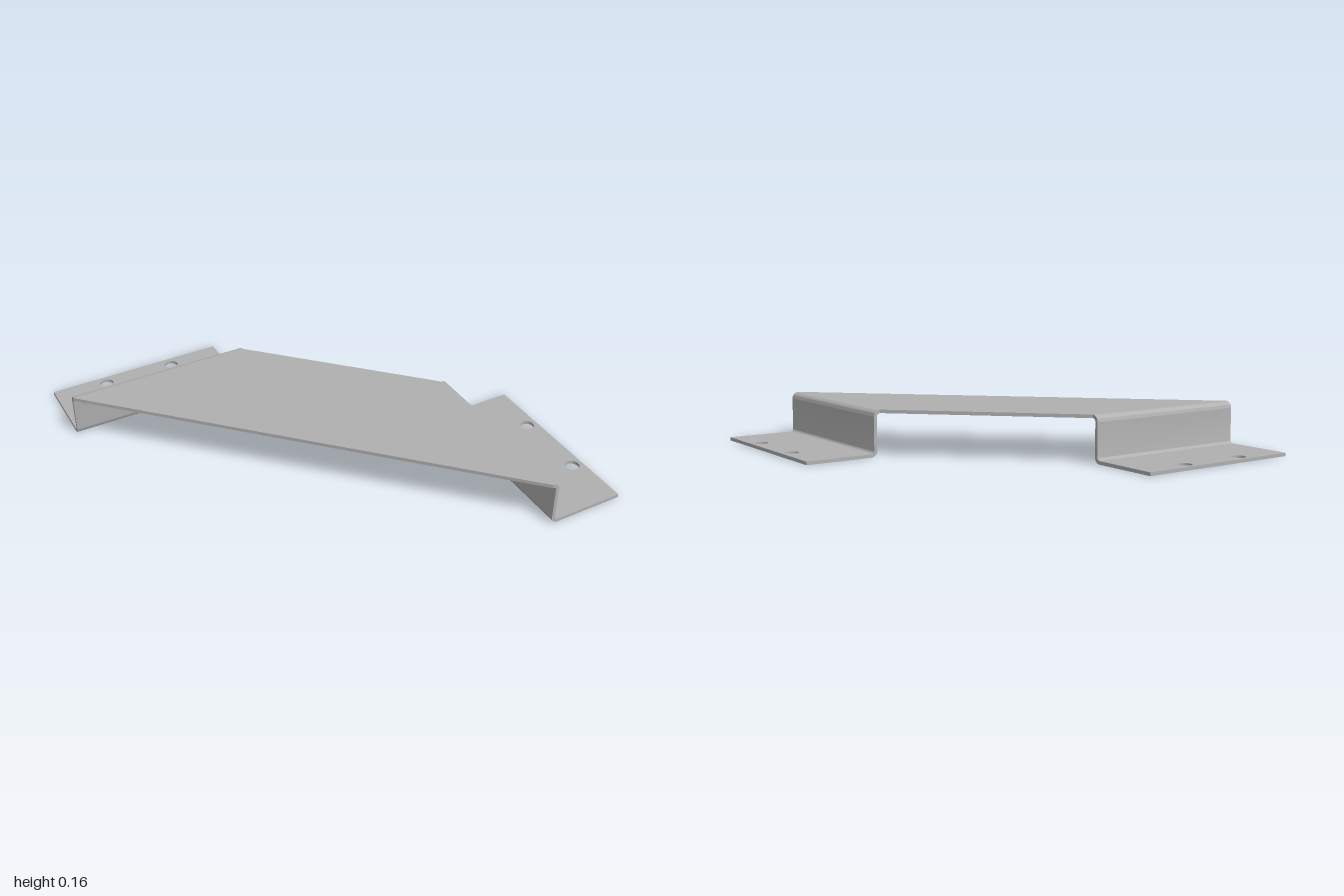
import * as THREE from 'three';
import { toCreasedNormals } from 'three/addons/utils/BufferGeometryUtils.js';

const T = 0.012;        // sheet thickness
const H = 0.162;        // overall height
const R = 0.012;        // inside bend radius
const WALL = 0.354;     // inner wall face, measured across the bend line
const EDGE = 0.62;      // outer edge of the foot
const LEN = 0.624;      // length along the bend line
const MID = 0.48;       // middle of the bend line

export function createModel() {
  const model = new THREE.Group();
  model.name = 'bracket';
  const steel = new THREE.MeshStandardMaterial({ color: 0xb0b0b0 });
  steel.name = 'grey steel';

  const add = (parent, name, geometry) => {
    const mesh = new THREE.Mesh(geometry, steel);
    mesh.name = name;
    parent.add(mesh);
    return mesh;
  };

  // Horizontal sheet: outline is (x, z), upper face at the given height
  const sheet = (shape, top) => {
    const g = new THREE.ExtrudeGeometry(shape, { depth: T, bevelEnabled: false, curveSegments: 16 });
    g.rotateX(Math.PI / 2).translate(0, top, 0);
    return toCreasedNormals(g, 0.6);
  };

  // Raised deck, a trapezoid ending where the bends begin
  const c = Math.SQRT1_2, bend = WALL - R;
  const corner = (s) => [(s + bend) * c, (s - bend) * c];
  const [xf, zf] = corner(MID + LEN / 2), [xb, zb] = corner(MID - LEN / 2);
  const deck = new THREE.Shape([[-xf, zf], [-xb, zb], [xb, zb], [xf, zf]].map((p) => new THREE.Vector2(...p)));
  add(model, 'deck', sheet(deck, H));

  // Wall section with a rounded bend at the top and bottom
  const footStart = WALL + T + R;
  const section = new THREE.Shape();
  section.moveTo(bend, H);
  section.absarc(bend, H - T - R, R + T, Math.PI / 2, 0, true);
  section.lineTo(WALL + T, T + R);
  section.absarc(footStart, T + R, R, Math.PI, Math.PI * 1.5, false);
  section.lineTo(footStart, 0);
  section.absarc(footStart, T + R, R + T, Math.PI * 1.5, Math.PI, true);
  section.lineTo(WALL, H - T - R);
  section.absarc(bend, H - T - R, R, 0, Math.PI / 2, false);
  section.closePath();
  const wallGeometry = new THREE.ExtrudeGeometry(section, { depth: LEN, bevelEnabled: false, curveSegments: 8 });
  wallGeometry.translate(0, 0, -LEN / 2);
  const wall = toCreasedNormals(wallGeometry, 0.6);

  // Foot plate with two bolt holes
  const h = LEN / 2;
  const outline = new THREE.Shape([[footStart, -h], [EDGE, -h], [EDGE, h], [footStart, h]].map((p) => new THREE.Vector2(...p)));
  for (const s of [-0.125, 0.125]) {
    outline.holes.push(new THREE.Path().absarc(0.582, s, 0.024, 0, Math.PI * 2, true));
  }
  const foot = sheet(outline, T);

  // Both legs turned 45 degrees outwards
  for (const side of [1, -1]) {
    const leg = new THREE.Group();
    leg.name = side > 0 ? 'leftLeg' : 'rightLeg';
    leg.rotation.y = side > 0 ? Math.PI / 4 : Math.PI * 0.75;
    for (const [name, g] of [['wall', wall], ['foot', foot]]) {
      add(leg, name, g).position.z = side * MID;
    }
    model.add(leg);
  }
  return model;
}
